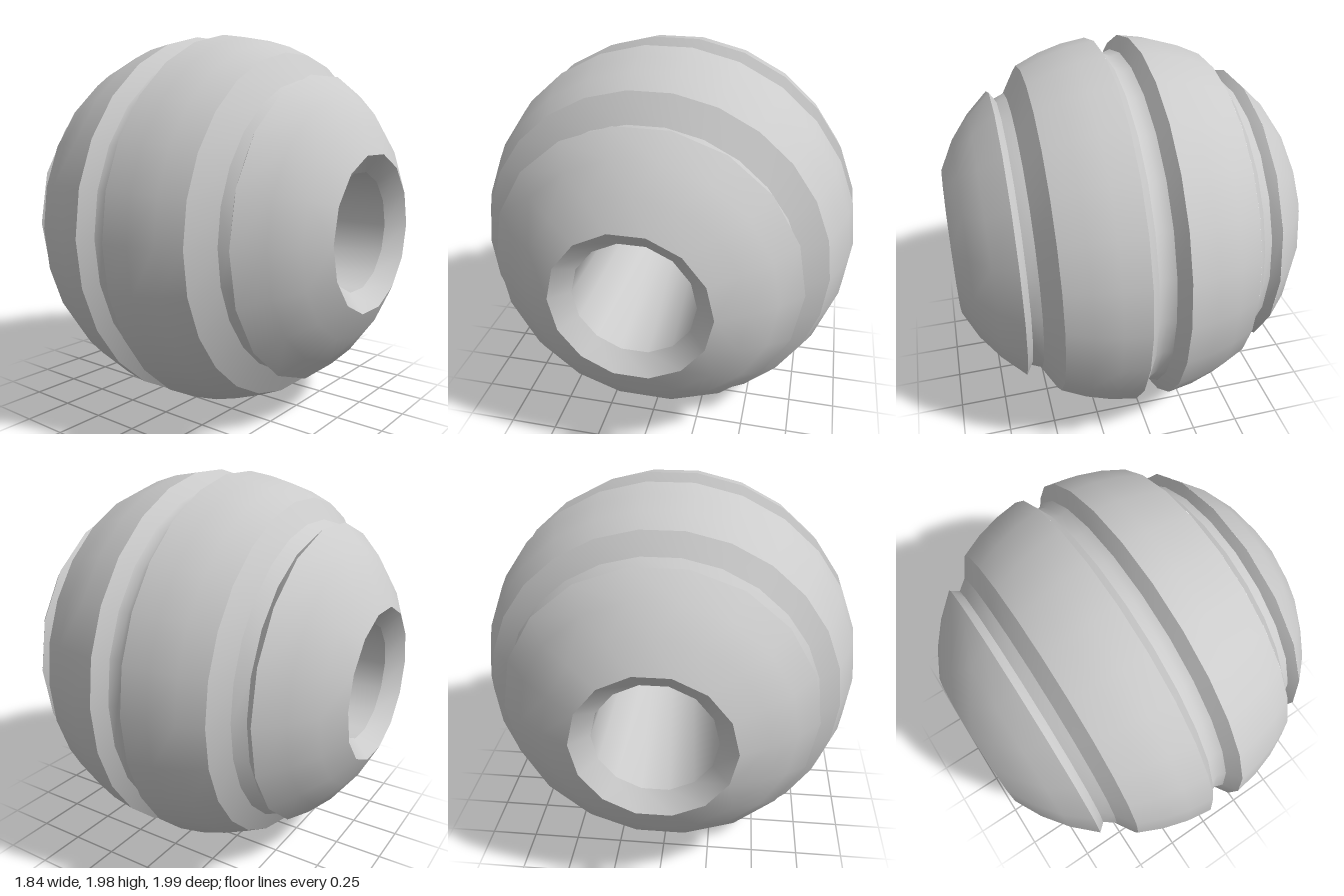
import * as THREE from 'three';

const material = new THREE.MeshStandardMaterial({ color: 0xcccccc });

// A ring of n corners around the x axis: [x, radius, n]
const corner = ([x, r, n], i) => {
  const a = (i / n) * Math.PI * 2;
  return [x, 1 + r * Math.sin(a), r * Math.cos(a)];
};

// Skins a row of rings smoothly, stitching rings with differing corner counts
function band(name, rings) {
  const positions = [], index = [], start = [];
  for (const ring of rings) {
    start.push(positions.length / 3);
    for (let i = 0; i < ring[2]; i++) positions.push(...corner(ring, i));
  }
  for (let k = 0; k < rings.length - 1; k++) {
    const na = rings[k][2], nb = rings[k + 1][2];
    const a = (i) => start[k] + (i % na);
    const b = (i) => start[k + 1] + (i % nb);
    let i = 0, j = 0;
    while (i < na || j < nb) {
      if (j >= nb || (i < na && (i + 1) / na <= (j + 1) / nb)) {
        index.push(a(i), a(i + 1), b(j));
        i++;
      } else {
        index.push(a(i), b(j + 1), b(j));
        j++;
      }
    }
  }
  const geometry = new THREE.BufferGeometry();
  geometry.setAttribute('position', new THREE.Float32BufferAttribute(positions, 3));
  geometry.setIndex(index);
  geometry.computeVertexNormals();
  const mesh = new THREE.Mesh(geometry, material);
  mesh.name = name;
  return mesh;
}

// Rings lying on the unit sphere, between two x positions
function sphereRings(x0, x1, counts) {
  return counts.map((n, i) => {
    const t = i / (counts.length - 1);
    const a = THREE.MathUtils.lerp(Math.acos(x0), Math.acos(x1), t);
    return [Math.cos(a), Math.sin(a), n];
  });
}

export function createModel() {
  const group = new THREE.Group();
  group.name = 'groovedBead';

  // Each half is listed from its end towards the middle
  const half = (grooveFloor, grooveFoot) => [
    ['holeBevel', [[0.84, 0.3, 14], [0.92, 0.392, 14]]],
    ['endCap', sphereRings(0.92, 0.633, [14, 16, 18, 18])],
    ['sideGrooveLip', [[0.633, 0.774, 18], grooveFloor]],
    ['sideGrooveFloor', [grooveFloor, grooveFoot]],
    ['sideGrooveSlope', [grooveFoot, [0.47, 0.883, 26]]],
    ['shell', sphereRings(0.47, 0.09, [26, 26, 26, 26])],
    ['middleGrooveWall', [[0.09, 0.996, 26], [0.042, 0.925, 26]]],
  ];
  const mirrored = (rings) => rings.map(([x, r, n]) => [-x, r, n]).reverse();

  for (const [name, rings] of half([0.6, 0.725, 22], [0.55, 0.748, 26]))
    group.add(band(name + 'Left', rings));
  for (const [name, rings] of half([0.592, 0.738, 22], [0.535, 0.78, 26]))
    group.add(band(name + 'Right', mirrored(rings)));

  // Floor of the middle groove and the bore through the bead
  group.add(band('middleGrooveFloor', [[0.042, 0.925, 26], [0, 0.91, 26], [-0.042, 0.925, 26]]));
  group.add(band('bore', [[-0.84, 0.3, 14], [0.84, 0.3, 14]]));
  return group;
}
